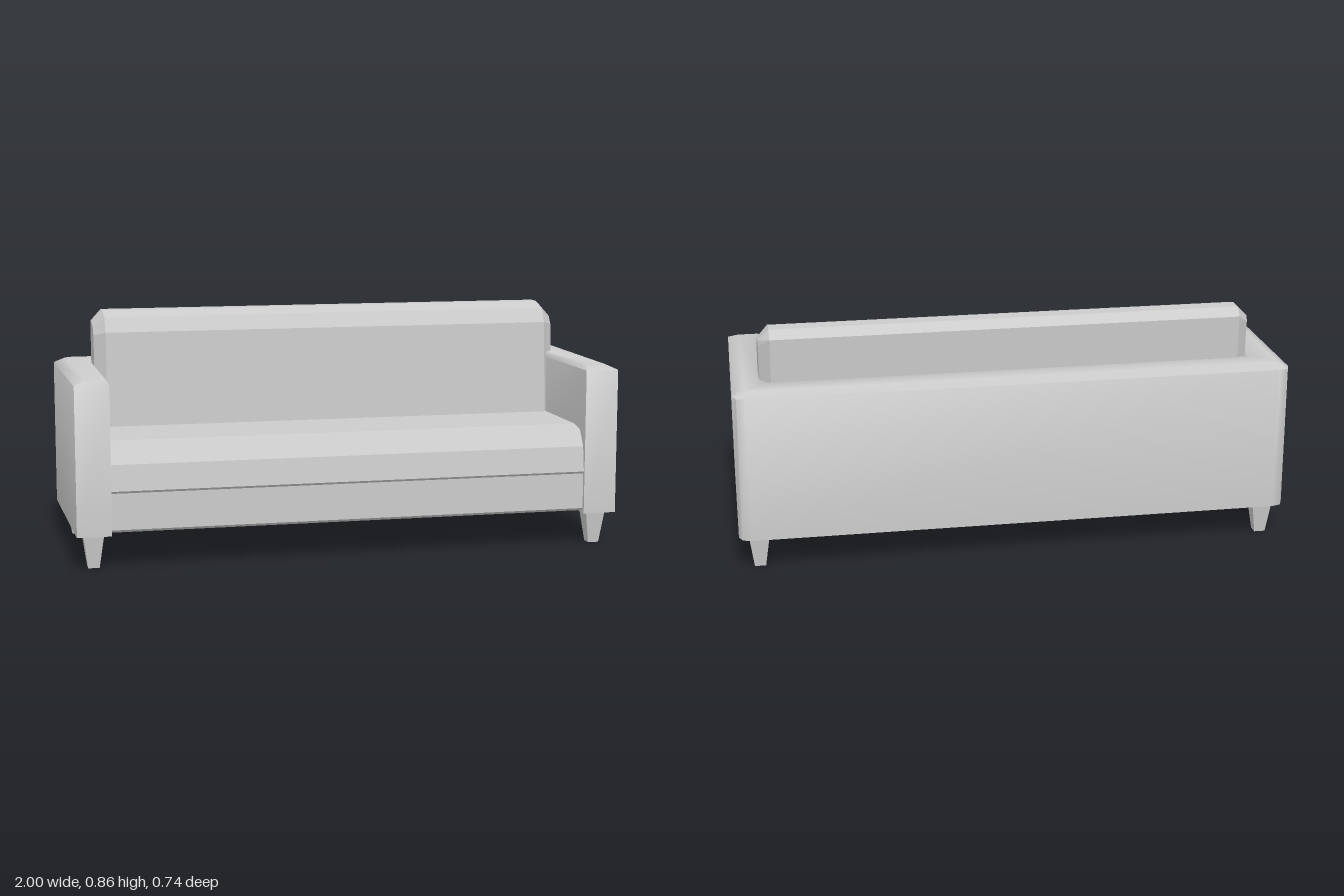
import * as THREE from 'three';
import { toCreasedNormals } from 'three/addons/utils/BufferGeometryUtils.js';

const material = new THREE.MeshStandardMaterial({ color: 0xcccccc });

// Joins matching counter-clockwise sections [t, [[u, v], ...]] along an axis and caps both ends.
function loft(sections, place, crease) {
  const positions = [];
  const rings = sections.map(([t, pts]) => pts.map(([u, v]) => place(u, v, t)));
  const tri = (a, b, c) => positions.push(...a, ...b, ...c);
  for (let i = 0; i < rings.length - 1; i++) {
    const lower = rings[i], upper = rings[i + 1], n = lower.length;
    for (let j = 0; j < n; j++) {
      const k = (j + 1) % n;
      tri(lower[j], lower[k], upper[k]);
      tri(lower[j], upper[k], upper[j]);
    }
  }
  const cap = (index, flip) => {
    const contour = sections[index][1].map(([u, v]) => new THREE.Vector2(u, v));
    for (const [a, b, c] of THREE.ShapeUtils.triangulateShape(contour, [])) {
      const r = rings[index];
      if (flip) tri(r[a], r[c], r[b]);
      else tri(r[a], r[b], r[c]);
    }
  };
  cap(0, true);
  cap(rings.length - 1, false);
  const geometry = new THREE.BufferGeometry();
  geometry.setAttribute('position', new THREE.Float32BufferAttribute(positions, 3));
  geometry.computeVertexNormals();
  return crease ? toCreasedNormals(geometry, crease) : geometry;
}

const alongX = (y, z, x) => [x, y, z];
const alongY = (z, x, y) => [x, y, z];

// U-shaped plan of arms and back as [z, x]; outer and inner walls can be inset.
function framePlan(outer, inner) {
  const half = [
    [0.367 - outer, 0.99 - outer],
    [-0.33 + outer * 0.6, 1 - outer],
    [-0.36 + outer, 0.987 - outer],
    [-0.37 + outer, 0.955 - outer * 0.6],
  ];
  const mirrored = half.map(([z, x]) => [z, -x]).reverse();
  const front = 0.367 - outer, x = 0.868 + inner, back = -0.24 - inner;
  return [...half, ...mirrored, [front, -x], [back, -x], [back, x], [front, x]];
}

export function createModel() {
  const group = new THREE.Group();
  const add = (name, geometry) => {
    const mesh = new THREE.Mesh(geometry, material);
    mesh.name = name;
    group.add(mesh);
    return mesh;
  };

  // Arms and back in one shell with a bevelled top edge
  add('armsAndBack', loft([
    [0.122, framePlan(0, 0)],
    [0.652, framePlan(0, 0)],
    [0.67, framePlan(0.038, 0.01)],
  ], alongY, 1.2));

  // Base rail and deck between the arms
  const base = [[0.27, 0.354], [0.14, 0.354], [0.13, 0.342], [0.13, -0.26], [0.27, -0.26]];
  add('base', loft([[-0.875, base], [0.875, base]], alongX));

  // Seat cushion with a faceted front edge
  const seat = [
    [0.44, 0.25], [0.428, 0.31], [0.37, 0.347], [0.278, 0.36],
    [0.268, 0.352], [0.268, -0.25], [0.44, -0.25],
  ];
  add('seatCushion', loft([[-0.87, seat], [0.87, seat]], alongX));

  // Back cushion, slightly reclined, with bevelled ends
  const middle = [
    [0.858, -0.18], [0.838, -0.11], [0.785, -0.08], [0.42, -0.058],
    [0.42, -0.242], [0.828, -0.265], [0.858, -0.235],
  ];
  const end = [
    [0.815, -0.185], [0.802, -0.14], [0.772, -0.12], [0.42, -0.098],
    [0.42, -0.203], [0.795, -0.225], [0.817, -0.22],
  ];
  add('backCushion', loft([[-0.87, end], [-0.83, middle], [0.86, middle], [0.9, end]], alongX));

  // Four square tapered legs
  const legGeometry = new THREE.CylinderGeometry(0.037 * Math.SQRT2, 0.02 * Math.SQRT2, 0.124, 4)
    .rotateY(Math.PI / 4).toNonIndexed();
  legGeometry.computeVertexNormals();
  for (const [side, x] of [['Left', 0.928], ['Right', -0.928]]) {
    for (const [row, z] of [['front', 0.293], ['back', -0.295]]) {
      add(`${row}${side}Leg`, legGeometry).position.set(x, 0.062, z);
    }
  }
  return group;
}
